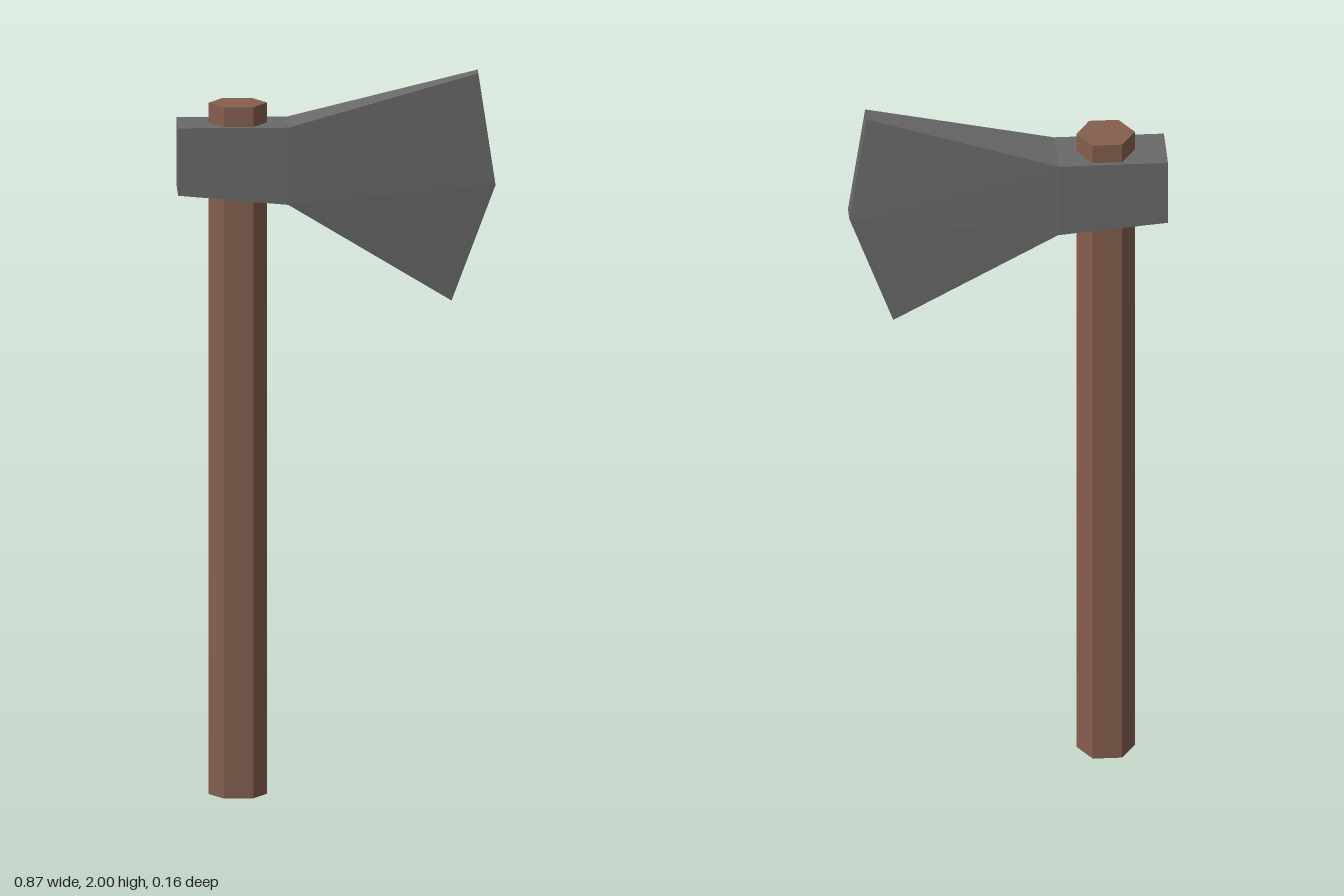
import * as THREE from 'three';

// Head outline, counter-clockwise from the front: x, y, half thickness
const OUTLINE = [
  [-0.435, 1.675, 0.082], // poll bottom
  [-0.135, 1.648, 0.082], // neck bottom
  [0.312, 1.37, 0.028],   // edge bottom
  [0.432, 1.69, 0.028],   // edge middle
  [0.385, 2.0, 0.028],    // edge top
  [-0.135, 1.862, 0.082], // neck top
  [-0.435, 1.862, 0.082], // poll top
];
const CHEEK = [[0, 1, 5], [0, 5, 6], [1, 3, 5], [1, 2, 3], [5, 3, 4]];

function headGeometry() {
  const positions = [];
  const add = (i, side) => {
    const [x, y, z] = OUTLINE[i];
    positions.push(x, y, z * side);
  };
  // Front and back cheeks
  for (const [a, b, c] of CHEEK) {
    add(a, 1); add(b, 1); add(c, 1);
    add(a, -1); add(c, -1); add(b, -1);
  }
  // Rim around the outline
  OUTLINE.forEach((_, i) => {
    const j = (i + 1) % OUTLINE.length;
    add(i, 1); add(i, -1); add(j, -1);
    add(i, 1); add(j, -1); add(j, 1);
  });
  const geometry = new THREE.BufferGeometry();
  geometry.setAttribute('position', new THREE.Float32BufferAttribute(positions, 3));
  geometry.computeVertexNormals();
  return geometry;
}

export function createModel() {
  const wood = new THREE.MeshStandardMaterial({ name: 'brown wood', color: 0x855f4e, flatShading: true });
  const steel = new THREE.MeshStandardMaterial({ name: 'grey steel', color: 0x6a6a6a, flatShading: true });

  const group = new THREE.Group();
  group.name = 'axe';

  // Six-sided handle with corners pointing along x
  const height = 1.917;
  const handle = new THREE.Mesh(
    new THREE.CylinderGeometry(0.08, 0.08, height, 6, 1, false, Math.PI / 2), wood);
  handle.name = 'handle';
  handle.position.set(-0.27, height / 2, 0);

  // Head tapering to the cutting edge
  const head = new THREE.Mesh(headGeometry(), steel);
  head.name = 'axeHead';

  group.add(handle, head);
  return group;
}
